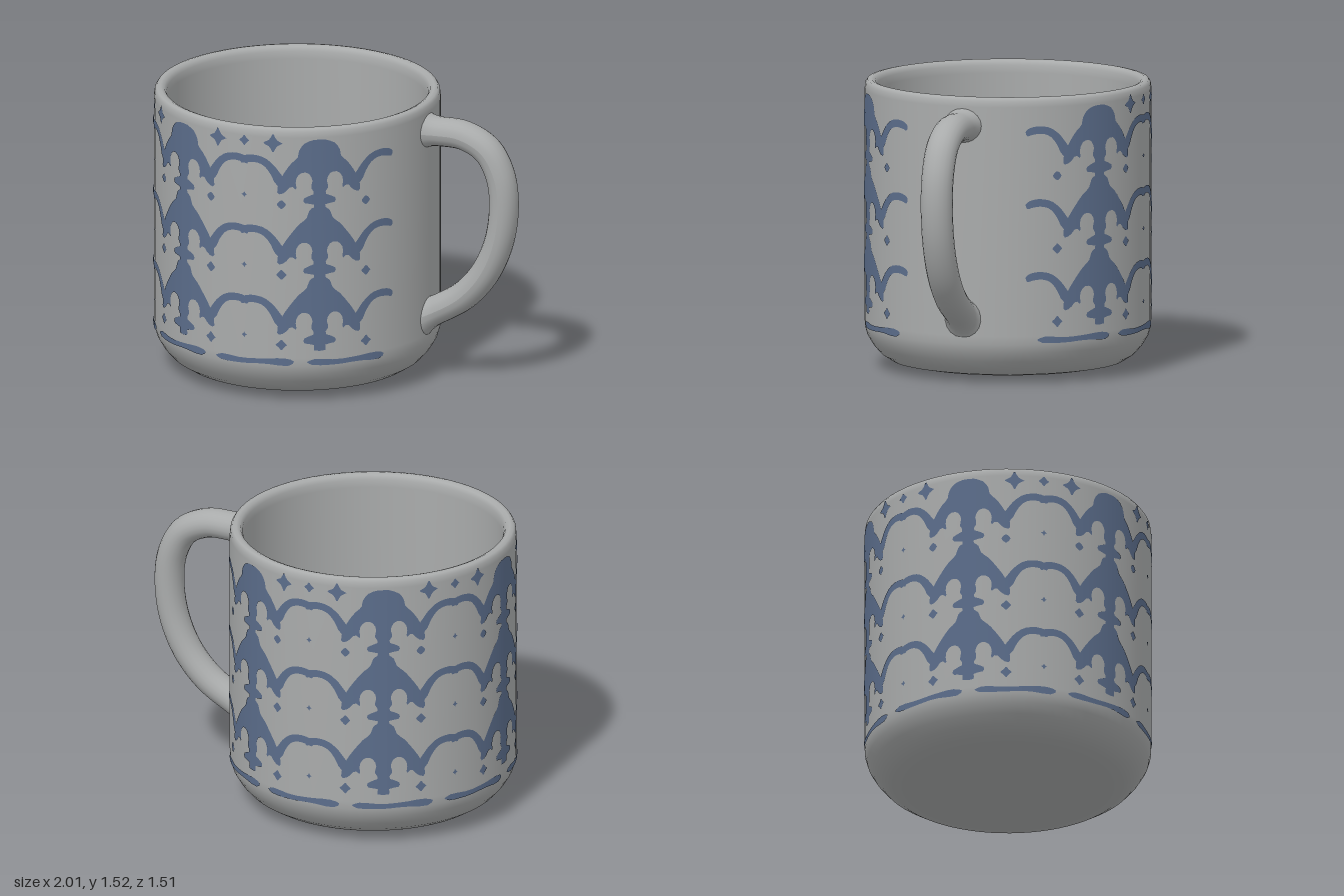
import * as THREE from 'three';
import { mergeGeometries } from 'three/addons/utils/BufferGeometryUtils.js';

const R = 0.75;          // outer radius of the cup
const SKIN = 0.004;      // how far the painted pattern sits off the wall
const rad = THREE.MathUtils.degToRad;
const v2 = (p) => new THREE.Vector2(p[0], p[1]);

// Closed smooth outline through a few points
function outline(points) {
  const pts = points.map(v2);
  const shape = new THREE.Shape();
  shape.moveTo(pts[0].x, pts[0].y);
  shape.splineThru([...pts.slice(1), pts[0].clone()]);
  return shape;
}

// Lays a flat shape (u = arc length, v = height) on the cylinder around angle phi,
// splitting long edges so that it follows the curve
function wrap(shape, phi, y = 0, u0 = 0) {
  const flat = new THREE.ShapeGeometry(shape, 2);
  const p = flat.attributes.position, idx = flat.index.array;
  const position = [], normal = [];
  const emit = (q) => {
    const a = phi + (q.x + u0) / R;
    position.push(Math.sin(a) * (R + SKIN), q.y + y, Math.cos(a) * (R + SKIN));
    normal.push(Math.sin(a), 0, Math.cos(a));
  };
  const split = (a, b, c) => {
    const ab = a.distanceTo(b), bc = b.distanceTo(c), ca = c.distanceTo(a);
    const longest = Math.max(ab, bc, ca);
    if (longest < 0.08) return [a, b, c].forEach(emit);
    if (longest === bc) return split(b, c, a);
    if (longest === ca) return split(c, a, b);
    const m = a.clone().add(b).multiplyScalar(0.5);
    split(a, m, c);
    split(m, b, c);
  };
  for (let i = 0; i < idx.length; i += 3) {
    split(...[0, 1, 2].map((k) => new THREE.Vector2(p.getX(idx[i + k]), p.getY(idx[i + k]))));
  }
  const g = new THREE.BufferGeometry();
  g.setAttribute('position', new THREE.Float32BufferAttribute(position, 3));
  g.setAttribute('normal', new THREE.Float32BufferAttribute(normal, 3));
  return g;
}

const mirrored = (half) => [...half, ...half.slice().reverse().map(([u, v]) => [-u, v])];

// Bell-shaped tier with two arched cut-outs, a stem and a foot
const bell = [[0.15, 0.2], [0.185, 0.15], [0.215, 0.09], [0.22, 0.035], [0.185, 0.04], [0.15, 0.075],
  [0.122, 0.06], [0.125, 0.11], [0.1, 0.148], [0.06, 0.148], [0.038, 0.11], [0.045, 0.07], [0.03, 0.035],
  [0.08, 0.012], [0.08, -0.015], [0.03, -0.025], [0.03, -0.055]];
const topTier = outline(mirrored([[0.03, 0.33], [0.08, 0.31], [0.108, 0.27], [0.115, 0.235], ...bell]));
const lowTier = outline(mirrored([[0.03, 0.345], [0.055, 0.325], [0.07, 0.285], [0.11, 0.25], ...bell]));

// Curling arm from a tier towards the next column
const armHalf = [[0.17, 0.1], [0.205, 0.145], [0.24, 0.19], [0.29, 0.228], [0.35, 0.24], [0.4, 0.232],
  [0.425, 0.212], [0.415, 0.188], [0.39, 0.195], [0.34, 0.2], [0.295, 0.185], [0.26, 0.145], [0.22, 0.075]];
const arms = [outline(armHalf), outline(armHalf.map(([u, v]) => [-u, v]))];

// Star-like blob with a given number of lobes
function star(r, inner, lobes) {
  return outline(Array.from({ length: lobes * 2 }, (_, i) => {
    const a = (i * Math.PI) / lobes, s = i % 2 ? inner : r;
    return [Math.cos(a) * s, Math.sin(a) * s];
  }));
}

export function createModel() {
  const model = new THREE.Group();
  const glaze = new THREE.MeshStandardMaterial({ color: 0xa9abab });
  glaze.name = 'greyGlaze';
  const paint = new THREE.MeshStandardMaterial({ color: 0x5b6d8b });
  paint.name = 'bluePaint';

  const cup = new THREE.Group();
  cup.name = 'cup';
  cup.position.x = -0.25;
  model.add(cup);
  const add = (parent, name, geometry, material) => {
    const mesh = new THREE.Mesh(geometry, material);
    mesh.name = name;
    parent.add(mesh);
  };

  // Hollow body: underside, outer wall, rounded rim, inner wall, floor
  const profile = [[0, 0], [0.3, 0.012], [0.54, 0.026], [0.61, 0.04], [0.665, 0.075], [0.705, 0.12],
    [0.735, 0.17], [0.748, 0.215], [R, 0.26], [R, 0.8], [R, 1.47], [0.746, 1.5], [0.735, 1.516], [0.715, 1.52],
    [0.695, 1.512], [0.684, 1.49], [0.68, 1.45], [0.68, 0.8], [0.675, 0.22], [0.655, 0.15],
    [0.6, 0.115], [0.5, 0.105], [0, 0.1]];
  add(cup, 'body', new THREE.LatheGeometry(profile.map(v2), 72), glaze);

  // Five columns of three tiers, centred opposite the handle
  const columns = [-2, -1, 0, 1, 2].map((k) => rad(-90 + 61 * k));
  const tierY = [1.13, 0.745, 0.36];
  const tiers = [], armParts = [], dots = [], diamonds = [], stripes = [];
  columns.forEach((phi, c) => tierY.forEach((y, t) => {
    tiers.push(wrap(t ? lowTier : topTier, phi, y));
    arms.forEach((arm) => armParts.push(wrap(arm, phi, y)));
    // Dots beside each tier foot, further out next to the handle
    [-1, 1].forEach((side) => {
      const outer = (c === 0 && side < 0) || (c === 4 && side > 0);
      dots.push(wrap(star(0.024 + 0.003 * t, 0.02, 4), phi, y - 0.025, side * (outer ? 0.255 : 0.2)));
    });
  }));

  // Small marks in the gaps between columns
  columns.slice(0, -1).forEach((phi) => {
    const mid = phi + rad(30.5);
    tierY.forEach((y) => dots.push(wrap(star(0.016, 0.008, 4), mid, y + 0.018)));
    [-0.155, 0.155].forEach((u) => diamonds.push(wrap(star(0.052, 0.027, 4), mid, 1.44, u)));
    diamonds.push(wrap(star(0.028, 0.018, 4), mid, 1.445));
  });

  // Broken band near the base
  const dash = outline([[-0.216, 0.002], [-0.17, 0.018], [-0.06, 0.01], [0.06, 0.016], [0.16, 0.022],
    [0.216, 0.006], [0.18, -0.02], [0.06, -0.012], [-0.06, -0.018], [-0.18, -0.016]]);
  for (let i = 0; i < 8; i++) stripes.push(wrap(dash, rad(-90 + (i - 3.5) * 38.1), 0.24));

  add(cup, 'patternTiers', mergeGeometries(tiers), paint);
  add(cup, 'patternArms', mergeGeometries(armParts), paint);
  add(cup, 'patternDots', mergeGeometries(dots), paint);
  add(cup, 'patternDiamonds', mergeGeometries(diamonds), paint);
  add(cup, 'baseBand', mergeGeometries(stripes), paint);

  // Handle: oval tube that flares where it meets the wall
  const path = new THREE.CatmullRomCurve3([[0.46, 1.37], [0.55, 1.37], [0.7, 1.365], [0.83, 1.3], [0.9, 1.18],
    [0.924, 1.03], [0.9, 0.82], [0.82, 0.63], [0.7, 0.49], [0.56, 0.4], [0.455, 0.35]]
    .map(([x, y]) => new THREE.Vector3(x, y, 0)));
  const tube = new THREE.TubeGeometry(path, 64, 0.077, 20);
  const pos = tube.attributes.position, q = new THREE.Vector3();
  for (let i = 0; i < pos.count; i++) {
    const t = tube.attributes.uv.getX(i);
    const centre = path.getPointAt(t);
    const flare = 1 + 0.4 * Math.max(0, 1 - Math.min(t, 1 - t) / 0.07) ** 2;
    q.fromBufferAttribute(pos, i).sub(centre).multiplyScalar(flare);
    q.z *= 1.1;
    q.add(centre);
    pos.setXYZ(i, q.x, q.y, q.z);
  }
  tube.computeVertexNormals();
  add(model, 'handle', tube, glaze);
  return model;
}
